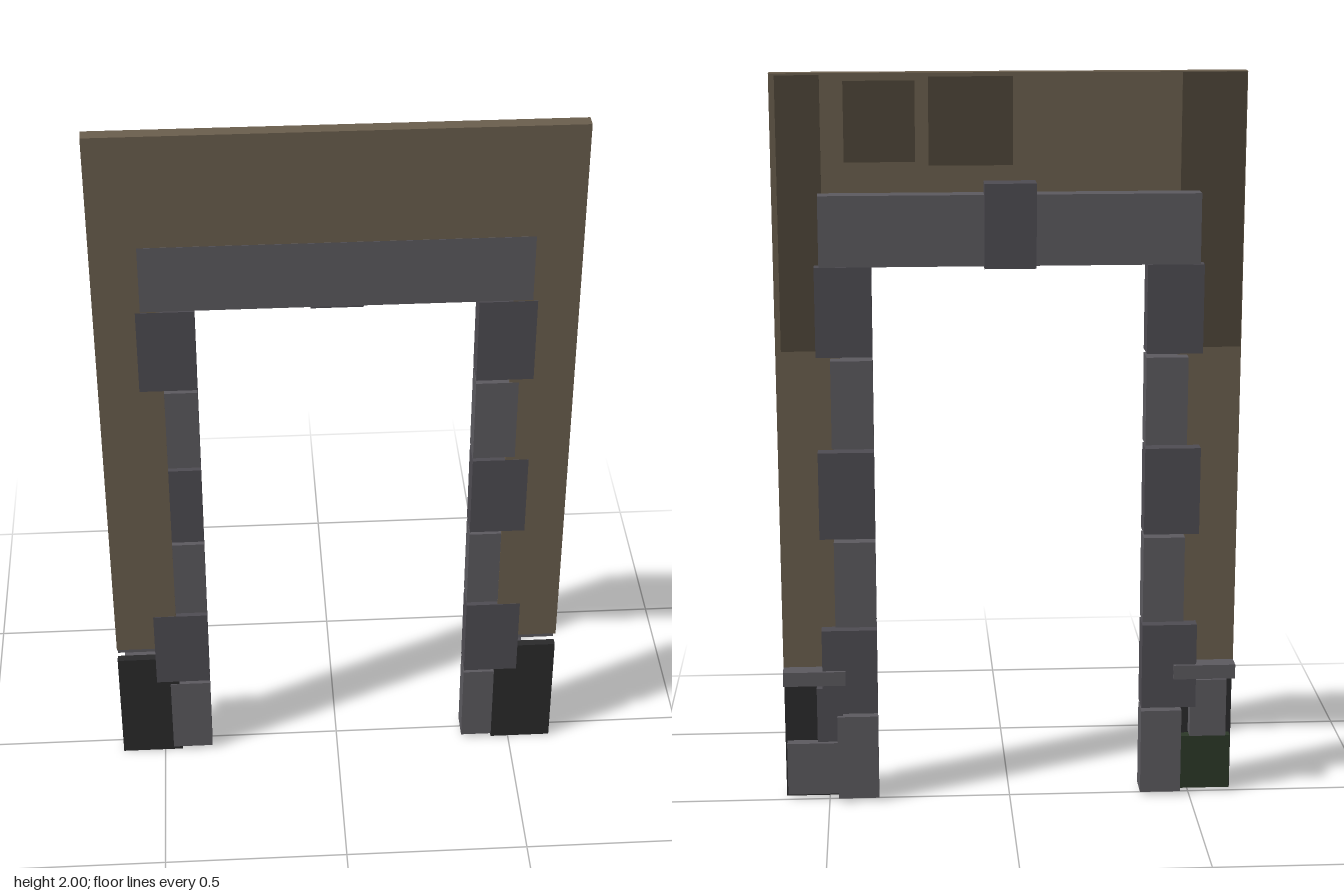
import * as THREE from 'three';

const material = (color) => new THREE.MeshStandardMaterial({ color, roughness: 0.9, flatShading: true });
const plaster = material(0x6a5e4d);
const stain = material(0x4d4538);
const stoneLight = material(0x5c5a5f);
const stoneDark = material(0x4e4c52);
const soot = material(0x2a2a2b);
const moss = material(0x2c3827);

const FRONT = 0.048; // front face of the wall
const BACK = 0.012; // back face of the wall

export function createModel() {
  const model = new THREE.Group();
  model.name = 'stoneDoorway';

  // Box given by its minimum and maximum along each axis
  const box = (name, mat, x0, x1, y0, y1, z0, z1) => {
    const mesh = new THREE.Mesh(new THREE.BoxGeometry(Math.abs(x1 - x0), y1 - y0, z1 - z0), mat);
    mesh.position.set((x0 + x1) / 2, (y0 + y1) / 2, (z0 + z1) / 2);
    mesh.name = name;
    model.add(mesh);
    return mesh;
  };

  // Plaster wall around the opening
  box('wallTop', plaster, -0.45, 0.45, 1.52, 2, BACK, FRONT);
  for (const s of [-1, 1]) {
    box('wallSide', plaster, s * 0.45, s * 0.62, 0.385, 2, BACK, FRONT);
    // Base of the wall with a narrow ledge above it
    box('plinth', soot, s * 0.45, s * 0.62, 0, 0.345, 0.026, FRONT);
    box('ledge', stoneLight, s * 0.45, s * 0.62, 0.345, 0.385, -0.034, 0.013);
  }

  // Jamb stones, alternately long and short; some sit just proud of the wall
  const proud = { '-1': [1, 0, 0, 0, 1, 1], '1': [0, 1, 0, 1, 1, 1] };
  proud['1'] = [0, 1, 0, 0, 1, 1];
  for (const s of [-1, 1]) {
    for (let i = 0; i < 6; i++) {
      const long = i % 2 === 1;
      const isProud = s < 0 ? [1, 1, 0, 0, 0, 1][i] : [0, 1, 0, 1, 1, 1][i];
      box('jambStone', long ? stoneDark : stoneLight,
        s * 0.363, s * (long ? 0.513 : 0.475),
        0.01 + i * 0.25, 0.25 + i * 0.25,
        -0.025, FRONT + (isProud ? 0.001 : -0.001));
    }
  }

  // Lintel and keystone
  box('lintel', stoneLight, -0.5, 0.5, 1.503, 1.69, -0.04, FRONT + 0.001);
  box('keystone', stoneDark, -0.068, 0.068, 1.497, 1.72, -0.05, FRONT - 0.002);

  // Darkened patches on the back of the wall
  const patches = [
    [0.49, 0.605, 1.27, 1.995], [0.245, 0.43, 1.77, 1.98],
    [-0.01, 0.21, 1.76, 1.99], [-0.618, -0.45, 1.27, 1.998],
  ];
  for (const [x0, x1, y0, y1] of patches) {
    box('wallPatch', stain, x0, x1, y0, y1, BACK - 0.002, BACK + 0.004);
  }

  // Loose blocks behind the plinths
  box('lowerBlock', stoneLight, 0.46, 0.615, 0.015, 0.165, -0.002, 0.026);
  box('upperBlock', stoneDark, 0.46, 0.53, 0.175, 0.33, -0.015, 0.026);
  box('mossyBlock', moss, -0.615, -0.46, 0.01, 0.165, -0.002, 0.026);
  box('upperBlock', stoneLight, -0.6, -0.5, 0.17, 0.335, -0.015, 0.026);

  return model;
}
